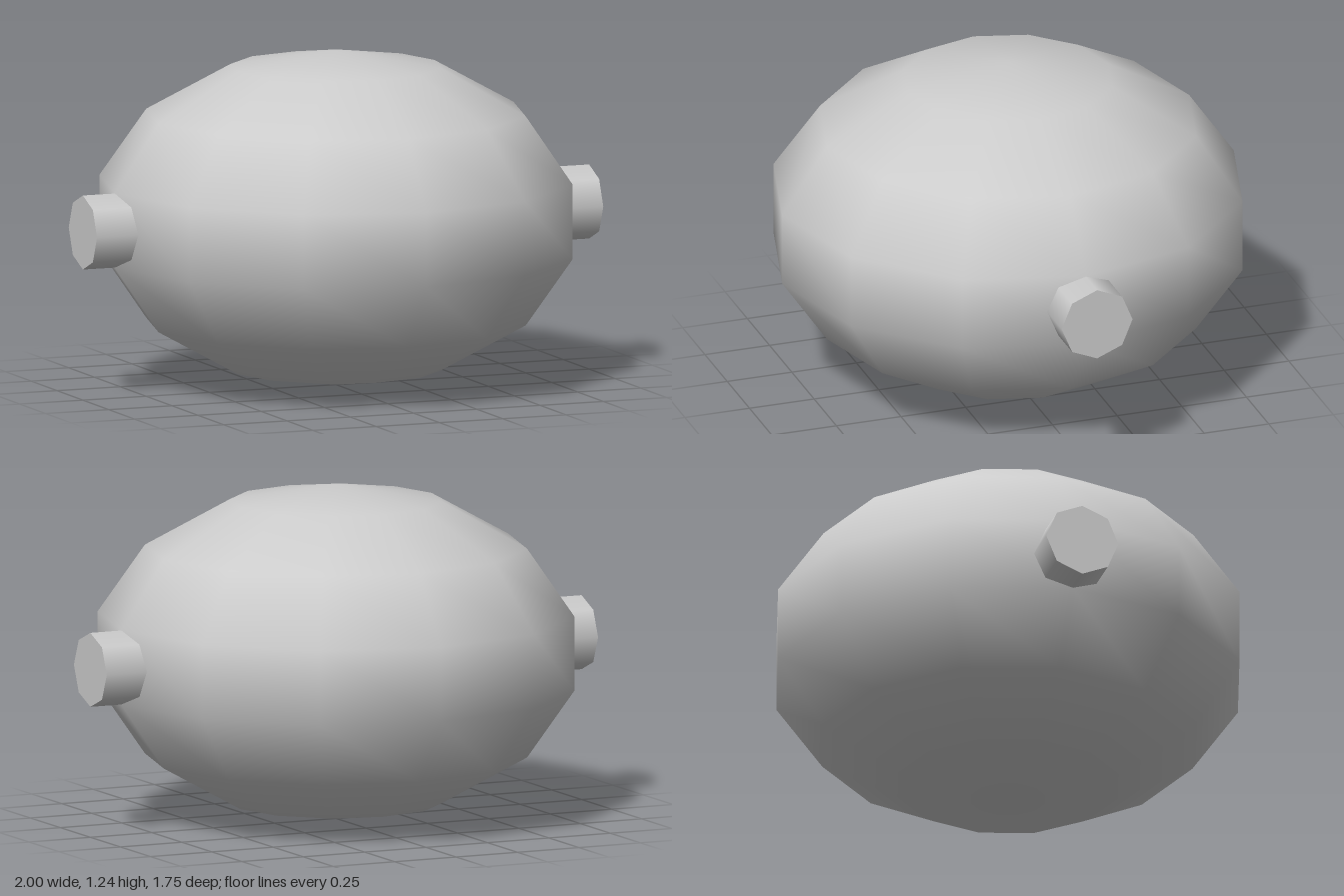
import * as THREE from 'three';

export function createModel() {
  const model = new THREE.Group();
  const material = new THREE.MeshStandardMaterial({ color: 0xcccccc });
  const centreY = 0.62;

  // Flattened, smooth low-poly body
  const bodyGeometry = new THREE.SphereGeometry(1, 12, 7);
  bodyGeometry.scale(0.896, 0.62, 0.896);
  const body = new THREE.Mesh(bodyGeometry, material);
  body.name = 'body';
  body.position.y = centreY;
  model.add(body);

  // Octagonal pegs on both sides, sunk into the body
  for (const [name, side] of [['leftPeg', 1], ['rightPeg', -1]]) {
    const geometry = new THREE.CylinderGeometry(0.137, 0.137, 0.3, 8);
    geometry.rotateZ(-side * Math.PI / 2);
    const peg = new THREE.Mesh(geometry, material);
    peg.name = name;
    peg.position.set(side * 0.85, centreY, 0);
    model.add(peg);
  }

  return model;
}
